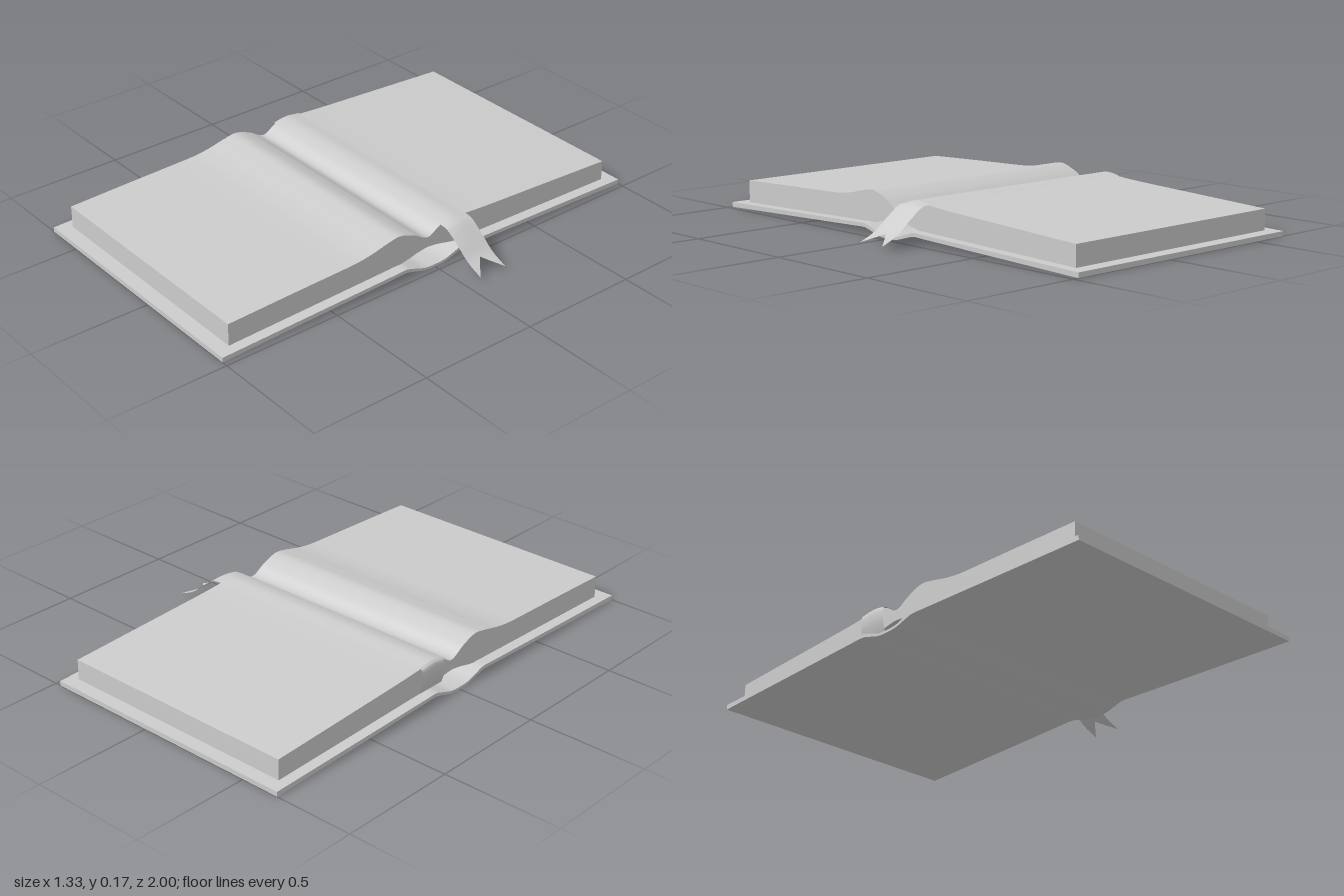
import * as THREE from 'three';
import { toCreasedNormals } from 'three/addons/utils/BufferGeometryUtils.js';

const mat = new THREE.MeshStandardMaterial({ color: 0xcccccc });
const clothMat = new THREE.MeshStandardMaterial({ color: 0xcccccc, side: THREE.DoubleSide });

// Smooth height curve y(z) through [z, y] points, with z ascending
function heightCurve(points) {
  const tangent = (i) => {
    const a = points[Math.max(0, i - 1)], b = points[Math.min(points.length - 1, i + 1)];
    return (b[1] - a[1]) / (b[0] - a[0]);
  };
  return (z) => {
    let i = 0;
    while (i < points.length - 2 && z > points[i + 1][0]) i++;
    const [z0, y0] = points[i], [z1, y1] = points[i + 1];
    const h = z1 - z0, t = (z - z0) / h, u = 1 - t;
    return y0 * (1 + 2 * t) * u * u + tangent(i) * h * t * u * u
      + y1 * t * t * (3 - 2 * t) - tangent(i + 1) * h * t * t * u;
  };
}

const mirrored = (half) => [...half.map(([z, y]) => [-z, y]).reverse(), ...half.filter(([z]) => z > 0)];

const pageTop = heightCurve([
  [-0.945, 0.106], [-0.6, 0.123], [-0.3, 0.138], [-0.19, 0.146], [-0.12, 0.154], [-0.06, 0.141],
  [0, 0.11], [0.07, 0.145], [0.14, 0.168], [0.2, 0.16], [0.28, 0.142], [0.36, 0.132],
  [0.6, 0.125], [0.94, 0.114],
]);
const pageBottom = heightCurve(mirrored([[0, 0.066], [0.05, 0.06], [0.13, 0.043], [0.2, 0.041], [0.5, 0.033], [0.94, 0.021]]));
const coverTop = heightCurve(mirrored([[0, 0.011], [0.05, 0.014], [0.1, 0.03], [0.14, 0.042], [0.2, 0.041], [0.5, 0.033], [1, 0.02]]));
const coverBottom = heightCurve(mirrored([[0, 0], [0.05, 0.003], [0.1, 0.017], [0.14, 0.027], [0.2, 0.026], [0.5, 0.016], [1, 0]]));

// Sheet-like solid between two height curves, running along x
function slab(name, bottom, top, zBack, zFront, x0, x1) {
  const zs = [zBack];
  for (let i = -30; i <= 30; i++) zs.push(i * 0.013);
  for (const z of [0.5, 0.65, 0.8]) zs.push(z, -z);
  zs.push(zFront);
  zs.sort((a, b) => a - b);
  const outline = [
    ...zs.map((z) => new THREE.Vector2(-z, top(z))),
    ...zs.reverse().map((z) => new THREE.Vector2(-z, bottom(z))),
  ];
  const geo = new THREE.ExtrudeGeometry(new THREE.Shape(outline), { depth: x1 - x0, bevelEnabled: false });
  geo.rotateY(Math.PI / 2).translate(x0, 0, 0);
  const mesh = new THREE.Mesh(toCreasedNormals(geo, 0.6), mat);
  mesh.name = name;
  return mesh;
}

// Ribbon grid: u runs along its length, v across its width
function ribbonStrip(name, path, notch, nu) {
  const nv = 12, geo = new THREE.PlaneGeometry(1, 1, nu, nv);
  const pos = geo.attributes.position;
  for (let i = 0; i < pos.count; i++) {
    const u = pos.getX(i) + 0.5, v = 0.5 - pos.getY(i);
    const z = -0.187 + v * 0.127;
    // Swallowtail: the middle of the end stops short
    const p = path(u * (1 - notch * (1 - Math.abs(2 * v - 1))), z);
    pos.setXYZ(i, p[0], p[1], z);
  }
  geo.computeVertexNormals();
  const mesh = new THREE.Mesh(geo, clothMat);
  mesh.name = name;
  return mesh;
}

export function createModel() {
  const book = new THREE.Group();
  book.name = 'openBook';
  book.add(slab('cover', coverBottom, coverTop, -1, 1, -0.665, 0.475));
  book.add(slab('pages', pageBottom, pageTop, -0.945, 0.94, -0.62, 0.43));

  // Bookmark ribbon: over the page, down the far edge, and a loose forked tail
  const ribbon = new THREE.Group();
  ribbon.name = 'bookmarkRibbon';
  const lift = (z) => pageTop(z) + 0.004;
  ribbon.add(ribbonStrip('ribbonOverPage', (u, z) => [-0.62 + u * 1.05, lift(z)], 0, 2));
  const tail = new THREE.CatmullRomCurve3([[0.43, 0.154], [0.47, 0.145], [0.53, 0.102], [0.59, 0.054], [0.665, 0.02]]
    .map(([x, y]) => new THREE.Vector3(x, y, 0)));
  ribbon.add(ribbonStrip('ribbonTail', (u, z) => {
    const p = tail.getPoint(u);
    return [p.x, p.y + (lift(z) - 0.154) * Math.max(0, 1 - u * 1.5)];
  }, 0.24, 24));
  const drop = new THREE.CatmullRomCurve3([[-0.62, 0.154], [-0.632, 0.145], [-0.636, 0.1], [-0.628, 0.06], [-0.622, 0.042]]
    .map(([x, y]) => new THREE.Vector3(x, y, 0)));
  ribbon.add(ribbonStrip('ribbonEdge', (u, z) => {
    const p = drop.getPoint(1 - u);
    return [p.x, p.y + (lift(z) - 0.154) * u];
  }, 0, 16));
  book.add(ribbon);
  return book;
}
